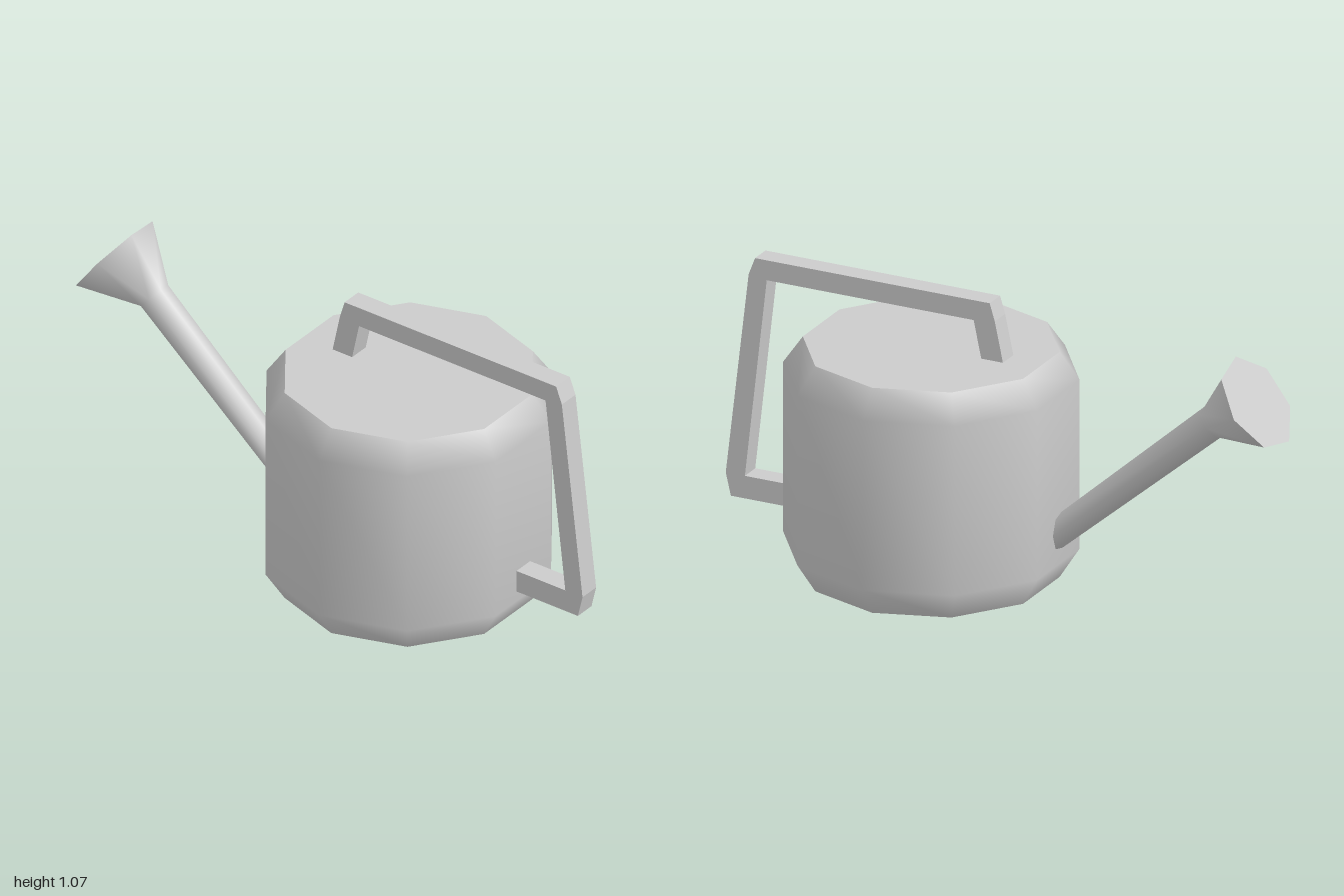
import * as THREE from 'three';

const material = new THREE.MeshStandardMaterial({ color: 0xcccccc, side: THREE.DoubleSide });

function addPart(parent, name, geometry) {
  const mesh = new THREE.Mesh(geometry, material);
  mesh.name = name;
  parent.add(mesh);
  return mesh;
}

// Smooth tube through rings { y, z, r, tilt }; each ring faces back and up by its tilt
function ringTube(rings, sides) {
  const positions = [];
  const index = [];
  rings.forEach(({ y, z, r, tilt }, k) => {
    for (let i = 0; i < sides; i++) {
      const a = (i / sides) * Math.PI * 2;
      const v = r * Math.sin(a);
      positions.push(r * Math.cos(a), y - v * Math.cos(tilt), z - v * Math.sin(tilt));
      if (k === 0) continue;
      const j = (i + 1) % sides;
      const low = (k - 1) * sides;
      const high = k * sides;
      index.push(low + i, low + j, high + j, low + i, high + j, high + i);
    }
  });
  const geometry = new THREE.BufferGeometry();
  geometry.setAttribute('position', new THREE.Float32BufferAttribute(positions, 3));
  geometry.setIndex(index);
  geometry.computeVertexNormals();
  return geometry;
}

export function createModel() {
  const model = new THREE.Group();
  model.name = 'wateringCan';

  // Everything lies along one vertical plane, turned 25 degrees
  const can = new THREE.Group();
  can.name = 'can';
  can.position.set(0.1, 0, 0.27);
  can.rotation.y = THREE.MathUtils.degToRad(25);
  model.add(can);

  // Ten-sided body with bevelled ends, open underneath
  const profile = [[0.455, 0], [0.525, 0.11], [0.525, 0.75], [0.455, 0.85]]
    .map(([r, y]) => new THREE.Vector2(r, y));
  addPart(can, 'body', new THREE.LatheGeometry(profile, 10, Math.PI / 10));

  // Flat lid
  const lid = new THREE.CircleGeometry(0.455, 10);
  lid.rotateX(-Math.PI / 2);
  lid.translate(0, 0.85, 0);
  addPart(can, 'lid', lid);

  // Handle: a bent flat bar from the lid, over and down to the lower wall
  const outline = [
    [-0.315, 0.79], [-0.27, 1.0], [-0.25, 1.065], [0.672, 1.065], [0.697, 1.0],
    [0.787, 0.235], [0.767, 0.15], [0.487, 0.15], [0.487, 0.235], [0.712, 0.235],
    [0.626, 0.99], [-0.187, 0.99], [-0.23, 0.79],
  ].map(([s, y]) => new THREE.Vector2(s, y));
  const handle = new THREE.ExtrudeGeometry(new THREE.Shape(outline), { depth: 0.08, bevelEnabled: false });
  handle.translate(0, 0, -0.04);
  handle.rotateY(-Math.PI / 2);
  addPart(can, 'handle', handle);

  // Seven-sided spout flaring into the rose
  const rose = { y: 0.86, z: -1.275, r: 0.18, tilt: 0.64 };
  const spout = addPart(can, 'spout', ringTube([
    { y: 0.205, z: -0.47, r: 0.053, tilt: 0.72 },
    { y: 0.755, z: -1.1, r: 0.062, tilt: 0.72 },
    rose,
  ], 7));
  spout.position.x = -0.012;

  // Flat face closing the rose
  const face = new THREE.CircleGeometry(rose.r, 7);
  face.rotateX(Math.PI + rose.tilt);
  face.translate(-0.012, rose.y, rose.z);
  addPart(can, 'roseFace', face);

  return model;
}
